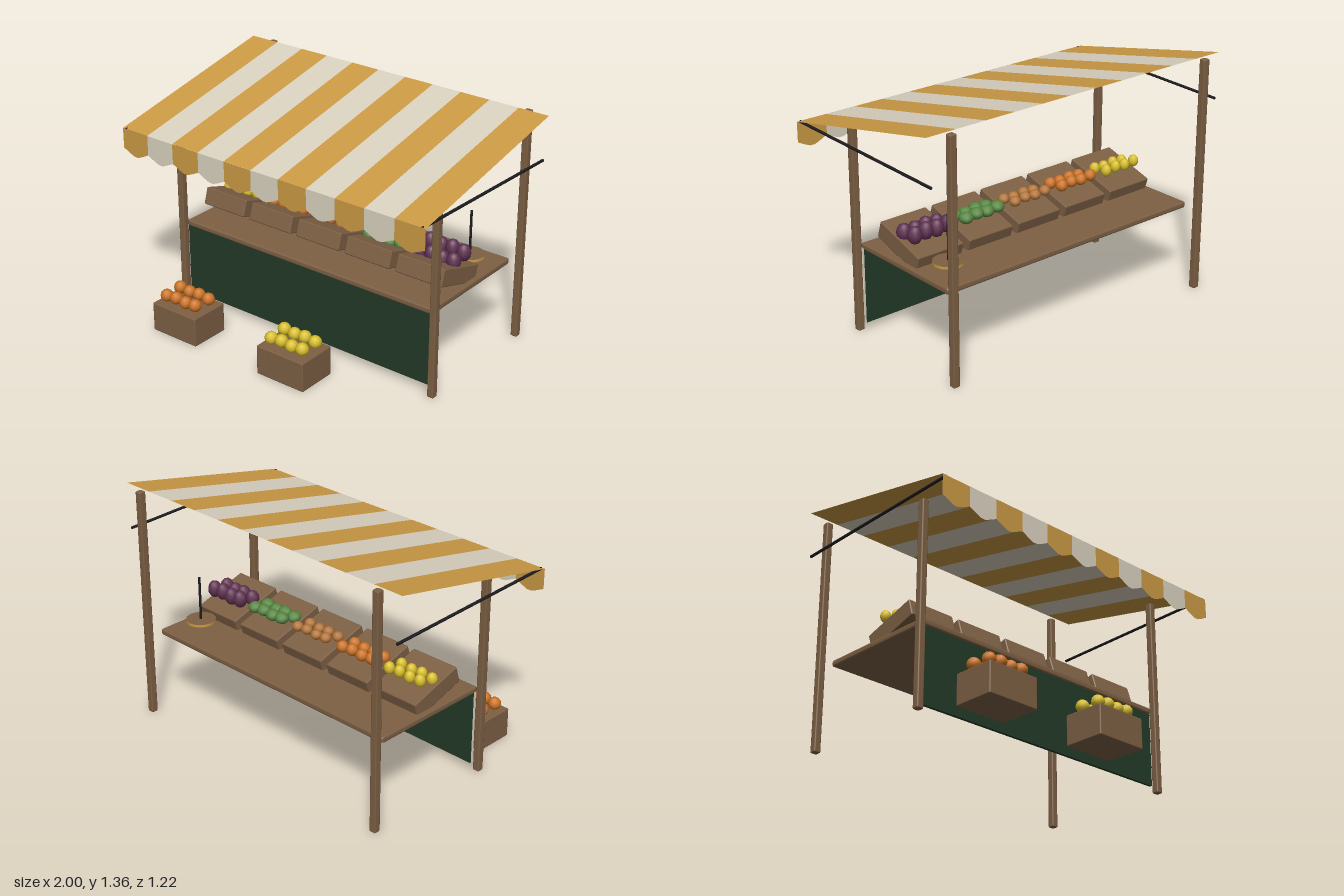
import * as THREE from 'three';
import { RoundedBoxGeometry } from 'three/addons/geometries/RoundedBoxGeometry.js';

const mat = (name, color, side = THREE.FrontSide) => {
  const m = new THREE.MeshStandardMaterial({ color, side });
  m.name = name;
  return m;
};

export function createModel() {
  const root = new THREE.Group();
  root.name = 'marketStall';

  const wood = mat('wood', 0x7d6044);
  const ochre = mat('ochreCloth', 0xcb9a44, THREE.DoubleSide);
  const cream = mat('creamCloth', 0xdad2c0, THREE.DoubleSide);
  const green = mat('darkGreen', 0x233a27);
  const black = mat('blackIron', 0x1c1c1f);
  const yellow = mat('lemonYellow', 0xd8be28);
  const orange = mat('orangePeel', 0xcc7222);
  const tan = mat('tanSkin', 0xb5763a);
  const leaf = mat('leafGreen', 0x588842);
  const purple = mat('purpleSkin', 0x5e3050);

  const add = (name, geo, material, x = 0, y = 0, z = 0, parent = root) => {
    const mesh = new THREE.Mesh(geo, material);
    mesh.name = name;
    mesh.position.set(x, y, z);
    parent.add(mesh);
    return mesh;
  };
  const block = (w, h, d, r = 0.007) => new RoundedBoxGeometry(w, h, d, 1, r);

  // Thin rod between two points
  const rod = (name, a, b, radius) => {
    const dir = b.clone().sub(a);
    const mesh = add(name, new THREE.CylinderGeometry(radius, radius, dir.length(), 8), black);
    mesh.position.copy(a).add(b).multiplyScalar(0.5);
    mesh.quaternion.setFromUnitVectors(new THREE.Vector3(0, 1, 0), dir.normalize());
  };

  // Posts and awning rods, mirrored
  for (const s of [-1, 1]) {
    add('frontPost', block(0.04, 1.16, 0.04), wood, s * 0.865, 0.58, 0.22);
    add('backPost', block(0.04, 1.35, 0.04), wood, s * 0.865, 0.675, -0.59);
    rod('awningRod', new THREE.Vector3(s * 0.978, 1.126, 0.52),
      new THREE.Vector3(s * 0.978, 1.098, -0.575), 0.008);
  }

  // Counter and front cloth
  add('counter', block(1.69, 0.037, 0.73, 0.012), wood, 0, 0.488, -0.153);
  add('frontPanel', new THREE.BoxGeometry(1.69, 0.435, 0.017),
    [cream, cream, green, green, green, green], 0, 0.2625, 0.192);

  // Striped awning with a scalloped valance
  const stripes = 11, w = 2 / stripes;
  const rise = 0.225, run = 1.09;
  const roofGeo = new THREE.PlaneGeometry(w, Math.hypot(rise, run));
  roofGeo.rotateX(-Math.atan2(run, rise));
  const flap = new THREE.Shape();
  [[-0.5, 0], [-0.5, -0.115], [-0.25, -0.137], [-0.08, -0.15], [0.08, -0.15], [0.25, -0.137], [0.5, -0.115], [0.5, 0]]
    .forEach(([x, y], i) => (i ? flap.lineTo(x * w, y) : flap.moveTo(x * w, y)));
  const flapGeo = new THREE.ShapeGeometry(flap);
  for (let i = 0; i < stripes; i++) {
    const cloth = i % 2 ? cream : ochre;
    const x = -1 + (i + 0.5) * w;
    add('awningStripe', roofGeo, cloth, x, 1.13 + rise / 2, 0.52 - run / 2);
    add('valanceFlap', flapGeo, cloth, x, 1.13, 0.521);
  }

  // Two rows of four fruit; each row is [y, z]
  const fruitGeo = new THREE.IcosahedronGeometry(1, 1);
  const fruitRows = (name, material, x, rows, [rx, ry]) => {
    const group = new THREE.Group();
    group.name = name;
    rows.forEach(([y, z], r) => {
      for (let c = 0; c < 4; c++) {
        const lift = (c + r) % 2 ? 0.003 : -0.003;
        add('fruit', fruitGeo, material, x + (c - 1.5) * 0.07, y + lift, z, group).scale.set(rx, ry, rx);
      }
    });
    root.add(group);
  };

  // Tilted display crates on the counter
  const crateGeo = block(0.295, 0.1, 0.335);
  const display = [
    ['lemons', yellow, [0.03, 0.036]],
    ['oranges', orange, [0.034, 0.034]],
    ['roots', tan, [0.032, 0.029]],
    ['greens', leaf, [0.04, 0.033]],
    ['aubergines', purple, [0.04, 0.051]],
  ];
  display.forEach(([name, material, size], i) => {
    const x = (i - 2) * 0.335;
    add('displayCrate', crateGeo, wood, x, 0.57, -0.077).rotation.x = -0.3;
    fruitRows(name, material, x, [[0.64, -0.075], [0.661, -0.168]], size);
  });

  // Crates on the ground
  const groundGeo = block(0.315, 0.172, 0.24);
  for (const [x, name, material] of [[-0.598, 'groundOranges', orange], [0.158, 'groundLemons', yellow]]) {
    add('groundCrate', groundGeo, wood, x, 0.086, 0.49);
    fruitRows(name, material, x, [[0.213, 0.547], [0.213, 0.438]], [0.037, 0.037]);
  }

  // Weighing stand
  add('standPlate', new THREE.CylinderGeometry(0.085, 0.085, 0.015, 12), [ochre, wood, wood], 0.7, 0.552, -0.345);
  add('standPole', new THREE.CylinderGeometry(0.007, 0.007, 0.255, 8), black, 0.7, 0.685, -0.345);

  return root;
}
